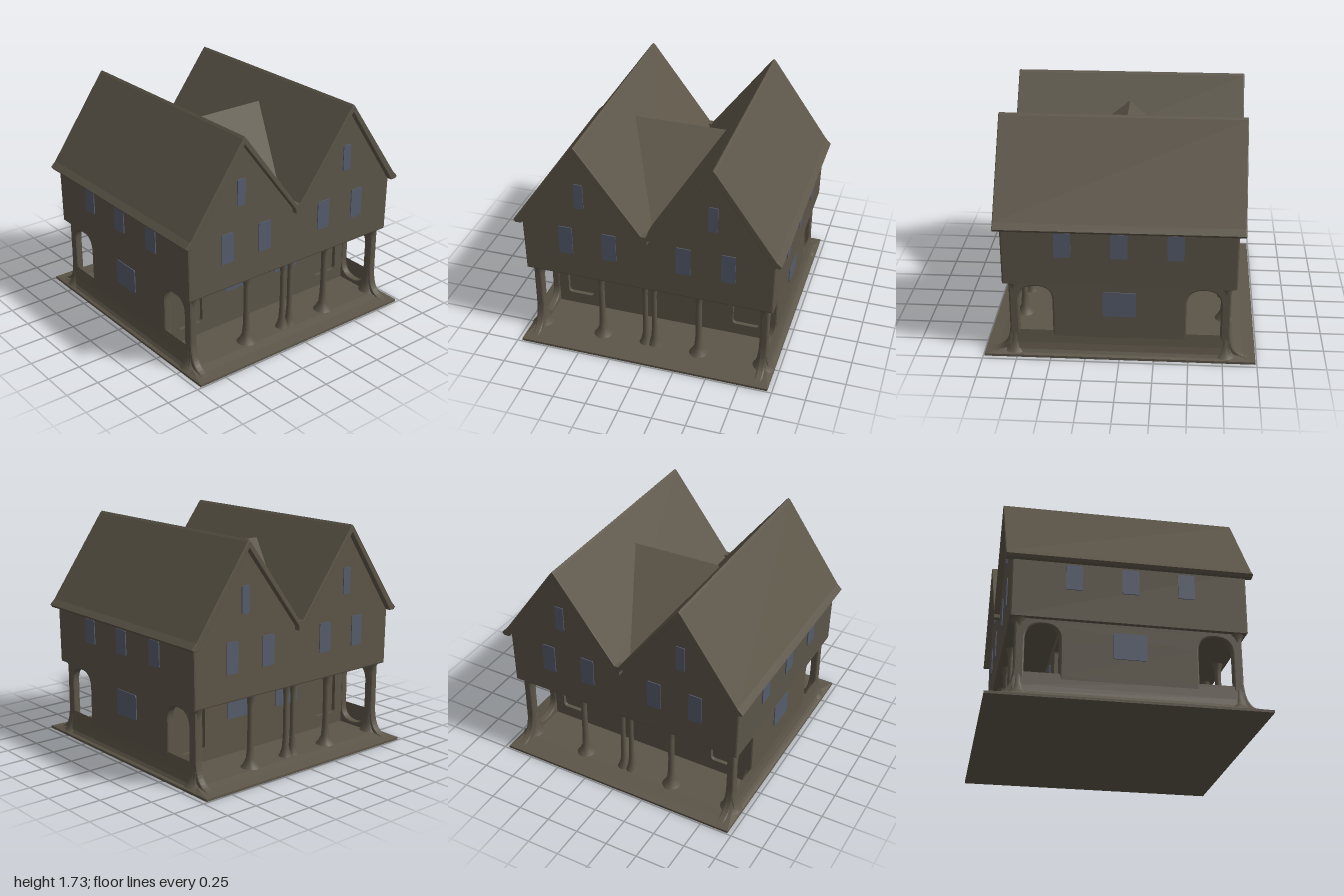
import * as THREE from 'three';

const plaster = new THREE.MeshStandardMaterial({ color: 0x5c5548 });
plaster.name = 'plaster';
const glass = new THREE.MeshStandardMaterial({ color: 0x565c6c });
glass.name = 'glass';

function add(parent, name, geometry, material = plaster, x = 0, y = 0, z = 0) {
  const mesh = new THREE.Mesh(geometry, material);
  mesh.name = name;
  mesh.position.set(x, y, z);
  parent.add(mesh);
  return mesh;
}

const polygon = (points) => new THREE.Shape(points.map(([x, y]) => new THREE.Vector2(x, y)));

// Rounded rectangle traced into a Shape or Path
function rounded(path, x0, y0, x1, y1, r) {
  path.moveTo(x0 + r, y0);
  path.lineTo(x1 - r, y0);
  path.quadraticCurveTo(x1, y0, x1, y0 + r);
  path.lineTo(x1, y1 - r);
  path.quadraticCurveTo(x1, y1, x1 - r, y1);
  path.lineTo(x0 + r, y1);
  path.quadraticCurveTo(x0, y1, x0, y1 - r);
  path.lineTo(x0, y0 + r);
  path.quadraticCurveTo(x0, y0, x0 + r, y0);
  return path;
}

// Extrusion along z, centred on z = 0, with softened edges
function slab(shape, depth, bevel = 0) {
  const g = new THREE.ExtrudeGeometry(shape, {
    depth: depth - 2 * bevel, curveSegments: 10, bevelEnabled: bevel > 0,
    bevelSize: bevel, bevelOffset: -bevel, bevelThickness: bevel, bevelSegments: 2,
  });
  return g.translate(0, 0, -depth / 2 + bevel);
}

// Thin window pane facing +z
function pane(parent, name, x0, y0, x1, y1, z, r = 0.012) {
  add(parent, name, slab(rounded(new THREE.Shape(), x0, y0, x1, y1, r), 0.008), glass, 0, 0, z);
}

// Stacked rectangular sections [y, halfWidth, halfDepth] for the spreading plinth
function plinthGeometry(sections) {
  const pos = [];
  const corner = ([y, w, d], i) => [[w, y, d], [w, y, -d], [-w, y, -d], [-w, y, d]][i % 4];
  const quad = (a, b, c, d) => pos.push(...a, ...b, ...c, ...a, ...c, ...d);
  for (let s = 0; s + 1 < sections.length; s++) {
    for (let i = 0; i < 4; i++) {
      const lo = sections[s], hi = sections[s + 1];
      quad(corner(lo, i), corner(lo, i + 1), corner(hi, i + 1), corner(hi, i));
    }
  }
  const top = sections[sections.length - 1], low = sections[0];
  quad(corner(top, 0), corner(top, 1), corner(top, 2), corner(top, 3));
  quad(corner(low, 3), corner(low, 2), corner(low, 1), corner(low, 0));
  const g = new THREE.BufferGeometry();
  g.setAttribute('position', new THREE.Float32BufferAttribute(pos, 3));
  g.computeVertexNormals();
  return g;
}

// Slender post with flared foot and head
function postGeometry(r, foot) {
  const profile = [[foot, 0.03], [foot * 0.68, 0.06], [r * 1.4, 0.11], [r * 1.08, 0.19], [r, 0.28],
    [r, 0.5], [r * 1.2, 0.56], [r * 1.7, 0.59], [r * 1.8, 0.61]];
  return new THREE.LatheGeometry(profile.map(([a, b]) => new THREE.Vector2(a, b)), 16);
}

// One gable end: porch posts, inner wall with doors, and all windows
function makeFacade() {
  const facade = new THREE.Group();
  facade.name = 'facade';

  const wall = polygon([[-0.86, 0.04], [0.86, 0.04], [0.86, 0.6], [-0.86, 0.6]]);
  for (const s of [-1, 1]) {
    wall.holes.push(rounded(new THREE.Path(), s * 0.67 - 0.105, 0.14, s * 0.67 + 0.105, 0.53, 0.03));
  }
  add(facade, 'porchWall', slab(wall, 0.04), plaster, 0, 0, 0.46);

  for (const s of [-1, 1]) {
    add(facade, 'cornerPost', postGeometry(0.032, 0.09), plaster, s * 0.875, 0, 0.767);
    add(facade, 'porchPost', postGeometry(0.023, 0.085), plaster, s * 0.38, 0, 0.77);
    add(facade, 'centrePost', postGeometry(0.019, 0.06), plaster, s * 0.035, 0, 0.77);
    const span = (name, a, b, y0, y1, z) =>
      pane(facade, name, Math.min(s * a, s * b), y0, Math.max(s * a, s * b), y1, z);
    span('porchWindow', 0.13, 0.35, 0.32, 0.51, 0.483);
    span('innerWindow', 0.225, 0.335, 0.8, 1.025, 0.843);
    span('outerWindow', 0.56, 0.665, 0.8, 1.03, 0.843);
    span('atticWindow', 0.46, 0.53, 1.21, 1.41, 0.843);
  }
  add(facade, 'valleySpout', new THREE.BoxGeometry(0.045, 0.07, 0.06), plaster, 0, 1.055, 0.855);
  return facade;
}

// Long side: wall with arched porch openings, and windows (built facing +z)
function makeSide() {
  const side = new THREE.Group();
  side.name = 'side';
  const shape = new THREE.Shape();
  shape.moveTo(-0.94, 0.025);
  shape.lineTo(0.94, 0.025);
  shape.bezierCurveTo(0.82, 0.05, 0.81, 0.13, 0.8, 0.22);
  shape.lineTo(0.8, 0.56);
  shape.quadraticCurveTo(0.805, 0.59, 0.83, 0.605);
  shape.lineTo(-0.83, 0.605);
  shape.quadraticCurveTo(-0.805, 0.59, -0.8, 0.56);
  shape.lineTo(-0.8, 0.22);
  shape.bezierCurveTo(-0.81, 0.13, -0.82, 0.05, -0.94, 0.025);
  for (const s of [-1, 1]) {
    shape.holes.push(rounded(new THREE.Path(), s * 0.607 - 0.122, 0.075, s * 0.607 + 0.122, 0.56, 0.12));
  }
  add(side, 'sideWall', slab(shape, 0.06, 0.012), plaster, 0, 0, 0.88);

  // Sweeping foot of the wall
  const foot = polygon([[0, 0.02], [0.045, 0.02], [0.025, 0.05], [0.012, 0.1], [0, 0.2]]);
  add(side, 'wallFoot', slab(foot, 1.6).rotateY(-Math.PI / 2), plaster, 0, 0, 0.905);

  pane(side, 'groundWindow', -0.12, 0.335, 0.12, 0.53, 0.913, 0.02);
  for (const x of [-0.4, 0, 0.4]) pane(side, 'sideWindow', x - 0.06, 0.82, x + 0.06, 1.01, 0.953);
  return side;
}

export function createModel() {
  const house = new THREE.Group();
  house.name = 'house';

  add(house, 'plinth', plinthGeometry([[0, 0.965, 0.99], [0.018, 0.965, 0.99], [0.03, 0.94, 0.9], [0.045, 0.92, 0.83]]));
  add(house, 'groundFloor', new THREE.BoxGeometry(1.76, 0.57, 0.9), plaster, 0, 0.32, 0);

  // Overhanging storey with its twin gables
  const gables = polygon([[-0.945, 0.595], [0.945, 0.595], [0.952, 1.07], [0.5, 1.69],
    [0, 1.03], [-0.5, 1.69], [-0.952, 1.07]]);
  add(house, 'upperFloor', slab(gables, 1.68, 0.012));

  // Twin pitched roof, same thickness along the zigzag
  const ridge = [[-1, 1.045], [-0.96, 1.085], [-0.515, 1.715], [-0.5, 1.73], [-0.485, 1.715], [0, 1.07],
    [0.485, 1.715], [0.5, 1.73], [0.515, 1.715], [0.96, 1.085], [1, 1.045]];
  const under = [[0.985, 1.025], [0.94, 1.025], [0.5, 1.67], [0, 1.02], [-0.5, 1.67], [-0.94, 1.025], [-0.985, 1.025]];
  add(house, 'roof', slab(polygon([...ridge, ...under].reverse()), 1.77, 0.006));

  // Cross roof filling the valley between the two ridges
  const cross = new THREE.BufferGeometry();
  const a = [-0.36, 1.54, 0], b = [0.36, 1.54, 0], f = [0, 1.065, 0.7], k = [0, 1.065, -0.7];
  cross.setAttribute('position', new THREE.Float32BufferAttribute([...a, ...f, ...b, ...a, ...b, ...k], 3));
  cross.computeVertexNormals();
  add(house, 'crossRoof', cross);

  for (const turn of [0, Math.PI]) {
    const facade = makeFacade();
    facade.rotation.y = turn;
    const side = makeSide();
    side.rotation.y = turn + Math.PI / 2;
    house.add(facade, side);
  }
  return house;
}
